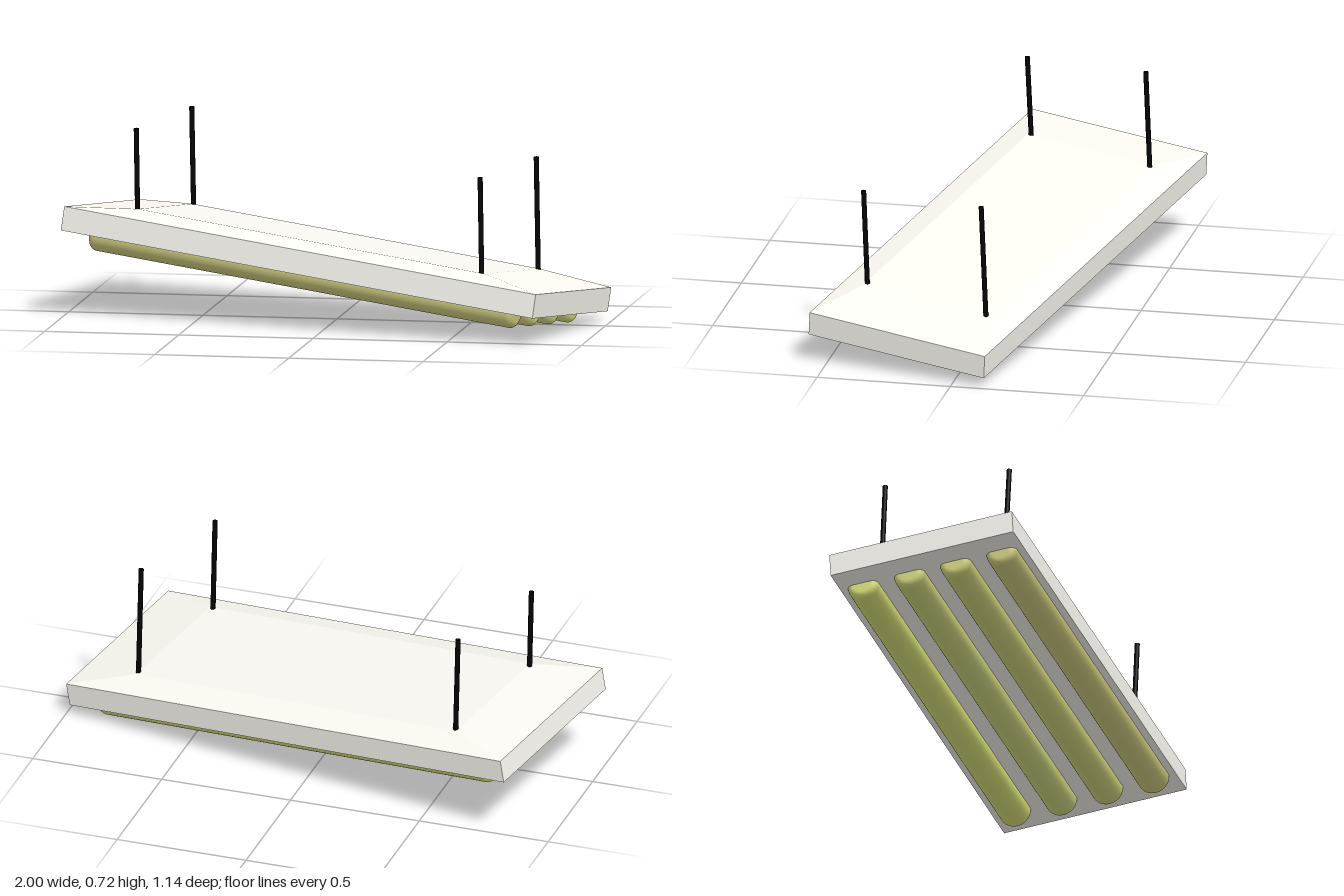
import * as THREE from 'three';

const material = (color) => new THREE.MeshStandardMaterial({ color });

// Shallow box whose lid slopes inward to a smaller raised panel
function housingGeometry() {
  const geo = new THREE.BoxGeometry(2, 2, 2, 1, 2, 1);
  const p = geo.attributes.position;
  for (let i = 0; i < p.count; i++) {
    const level = p.getY(i);
    const top = level > 0.5;
    const y = top ? 0.03 : level < -0.5 ? -0.089 : 0;
    p.setXYZ(i, p.getX(i) * (top ? 0.7 : 0.95), y, p.getZ(i) * (top ? 0.257 : 0.356));
  }
  const flat = geo.toNonIndexed();
  flat.computeVertexNormals();
  return flat;
}

// Tube with softly rounded ends, lying along x
function lampGeometry(radius, half, round) {
  const pts = [new THREE.Vector2(0, -half)];
  for (const side of [-1, 1]) {
    for (let i = 0; i <= 5; i++) {
      const a = (side < 0 ? i : 5 - i) / 5 * Math.PI / 2;
      pts.push(new THREE.Vector2(
        radius - round + round * Math.sin(a),
        side * (half - round + round * Math.cos(a))));
    }
  }
  pts.push(new THREE.Vector2(0, half));
  return new THREE.LatheGeometry(pts, 32).rotateZ(-Math.PI / 2);
}

// Thin straight rod between two points
function rod(from, to, mat) {
  const a = new THREE.Vector3(...from), b = new THREE.Vector3(...to);
  const dir = b.clone().sub(a);
  const mesh = new THREE.Mesh(new THREE.CylinderGeometry(0.0095, 0.0095, dir.length(), 10), mat);
  mesh.position.copy(a).add(b).multiplyScalar(0.5);
  mesh.quaternion.setFromUnitVectors(new THREE.Vector3(0, 1, 0), dir.normalize());
  return mesh;
}

export function createModel() {
  const model = new THREE.Group();
  model.name = 'hangingLamp';

  // Fixture hangs askew: long axis, normal and short axis of the housing
  const long = new THREE.Vector3(0.966, -0.113, 0.231).normalize();
  const up = new THREE.Vector3(-0.225, 0.098, 0.969).cross(long).normalize();
  const short = long.clone().cross(up);
  const fixture = new THREE.Group();
  fixture.name = 'fixture';
  fixture.quaternion.setFromRotationMatrix(new THREE.Matrix4().makeBasis(long, up, short));
  fixture.position.set(0.002, 0.2665, -0.003);
  model.add(fixture);

  const housing = new THREE.Mesh(housingGeometry(), material(0xfbf9f2));
  housing.name = 'housing';
  fixture.add(housing);

  // Four light tubes, half sunk into the underside
  const tubeGeo = lampGeometry(0.059, 0.855, 0.025);
  [0xdce47a, 0xd3d880, 0xd4d67e, 0xd0cd80].forEach((color, i) => {
    const tube = new THREE.Mesh(tubeGeo, material(color));
    tube.name = `lightTube${i + 1}`;
    tube.position.set(0, -0.089, -0.27 + 0.18 * i);
    fixture.add(tube);
  });

  // Nearly vertical suspension rods at the corners of the raised panel
  const black = material(0x020202);
  [
    [[0.61, 0.235, 0.395], [0.607, 0.6, 0.41]],
    [[-0.731, 0.395, 0.07], [-0.733, 0.7, 0.085]],
    [[-0.607, 0.34, -0.402], [-0.611, 0.715, -0.386]],
    [[0.736, 0.185, -0.077], [0.732, 0.612, -0.058]],
  ].forEach(([base, top], i) => {
    const mesh = rod(base, top, black);
    mesh.name = `suspensionRod${i + 1}`;
    model.add(mesh);
  });

  return model;
}
